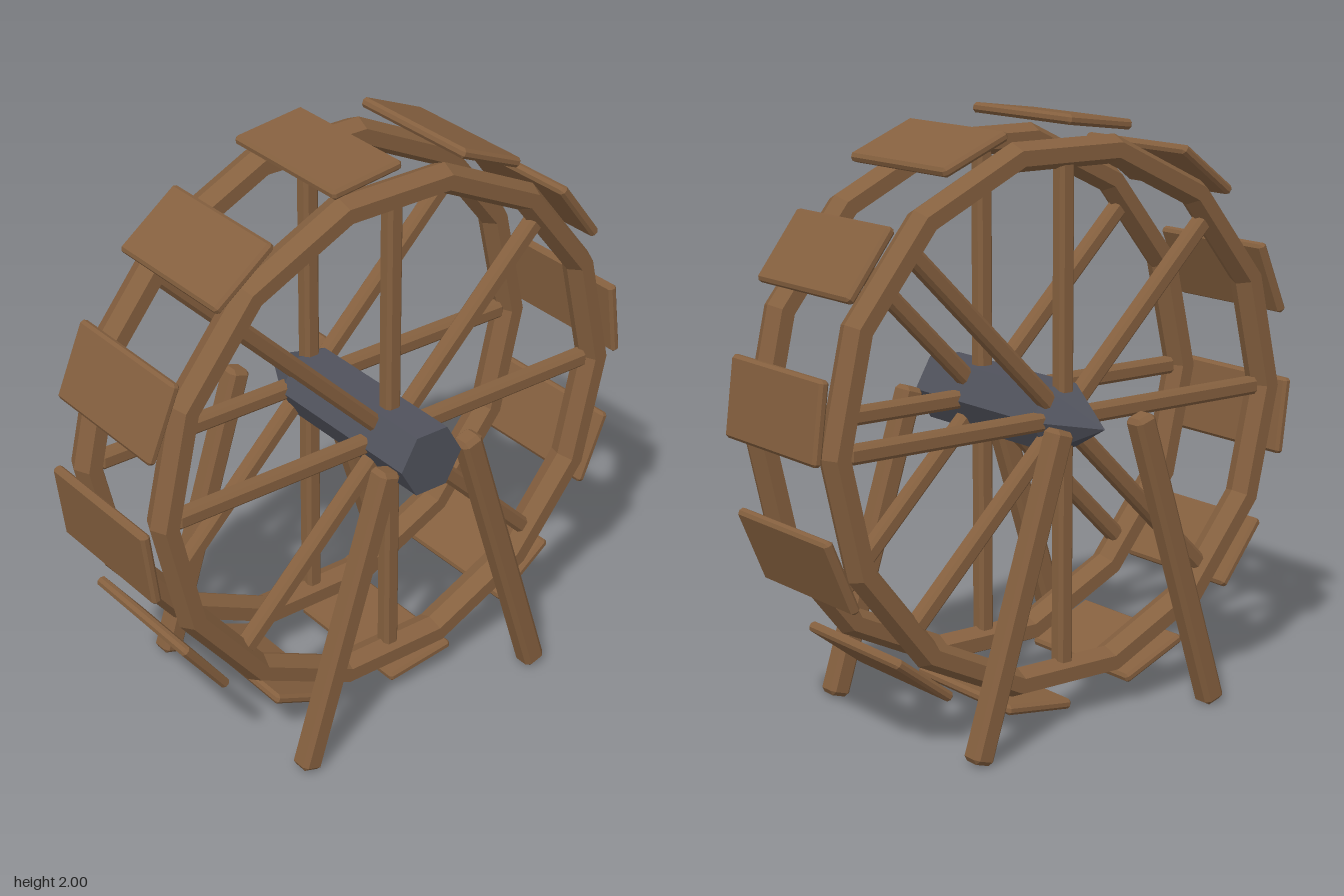
import * as THREE from 'three';
import { ConvexGeometry } from 'three/addons/geometries/ConvexGeometry.js';

const wood = new THREE.MeshStandardMaterial({ color: 0x85603f });
wood.name = 'wood';
const iron = new THREE.MeshStandardMaterial({ color: 0x50525c });
iron.name = 'iron';

const HUB_Y = 1.021;

// Box with every edge cut by a single chamfer
function bevelledBox(w, h, d, b) {
  const points = [];
  for (const sx of [-1, 1]) for (const sy of [-1, 1]) for (const sz of [-1, 1]) {
    const x = w / 2, y = h / 2, z = d / 2;
    points.push(
      new THREE.Vector3(sx * x, sy * (y - b), sz * (z - b)),
      new THREE.Vector3(sx * (x - b), sy * y, sz * (z - b)),
      new THREE.Vector3(sx * (x - b), sy * (y - b), sz * z)
    );
  }
  return new ConvexGeometry(points);
}

// Faceted solid turned about the x axis; profile is [radius, x]
function turned(profile, sides) {
  const points = profile.map(([r, x]) => new THREE.Vector2(r, x));
  const geometry = new THREE.LatheGeometry(points, sides).toNonIndexed();
  geometry.rotateZ(-Math.PI / 2);
  geometry.computeVertexNormals();
  return geometry;
}

function add(parent, name, geometry, material) {
  const mesh = new THREE.Mesh(geometry, material);
  mesh.name = name;
  parent.add(mesh);
  return mesh;
}

export function createModel() {
  const model = new THREE.Group();
  model.name = 'waterWheel';

  const wheel = new THREE.Group();
  wheel.name = 'wheel';
  wheel.position.y = HUB_Y;
  model.add(wheel);

  // Six-sided axle, pointed at one end
  add(wheel, 'axle', turned([[0, -0.432], [0.122, -0.21], [0.122, 0.433], [0, 0.433]], 6), iron);

  // Two fourteen-sided rims with spokes running straight through the axle
  const rim = turned([
    [0.928, 0], [0.904, 0.053], [0.854, 0.053], [0.83, 0],
    [0.854, -0.053], [0.904, -0.053], [0.928, 0]
  ], 14);
  const spoke = bevelledBox(0.058, 1.68, 0.058, 0.012);
  for (const side of [-1, 1]) {
    add(wheel, 'rim', rim, wood).position.x = side * 0.217;
    for (let i = 0; i < 4; i++) {
      const bar = add(wheel, 'spokePair', spoke, wood);
      bar.position.x = side * 0.217;
      bar.rotation.x = i * Math.PI / 4;
    }
  }

  // Twelve paddles around the rims
  const paddle = bevelledBox(0.515, 0.034, 0.265, 0.01);
  for (let i = 0; i < 12; i++) {
    const a = THREE.MathUtils.degToRad(7.2 + 30 * i);
    const board = add(wheel, 'paddle', paddle, wood);
    board.position.set(-0.002, 0.957 * Math.cos(a), 0.957 * Math.sin(a));
    board.rotation.x = a;
  }

  // Four leaning support legs
  const leg = bevelledBox(0.078, 1.08, 0.08, 0.015);
  for (const side of [-1, 1]) for (const end of [-1, 1]) {
    const post = add(model, 'supportLeg', leg, wood);
    post.position.set(side * 0.408, 0.526, end * 0.3265);
    post.rotation.x = -end * THREE.MathUtils.degToRad(17.5);
  }

  return model;
}
